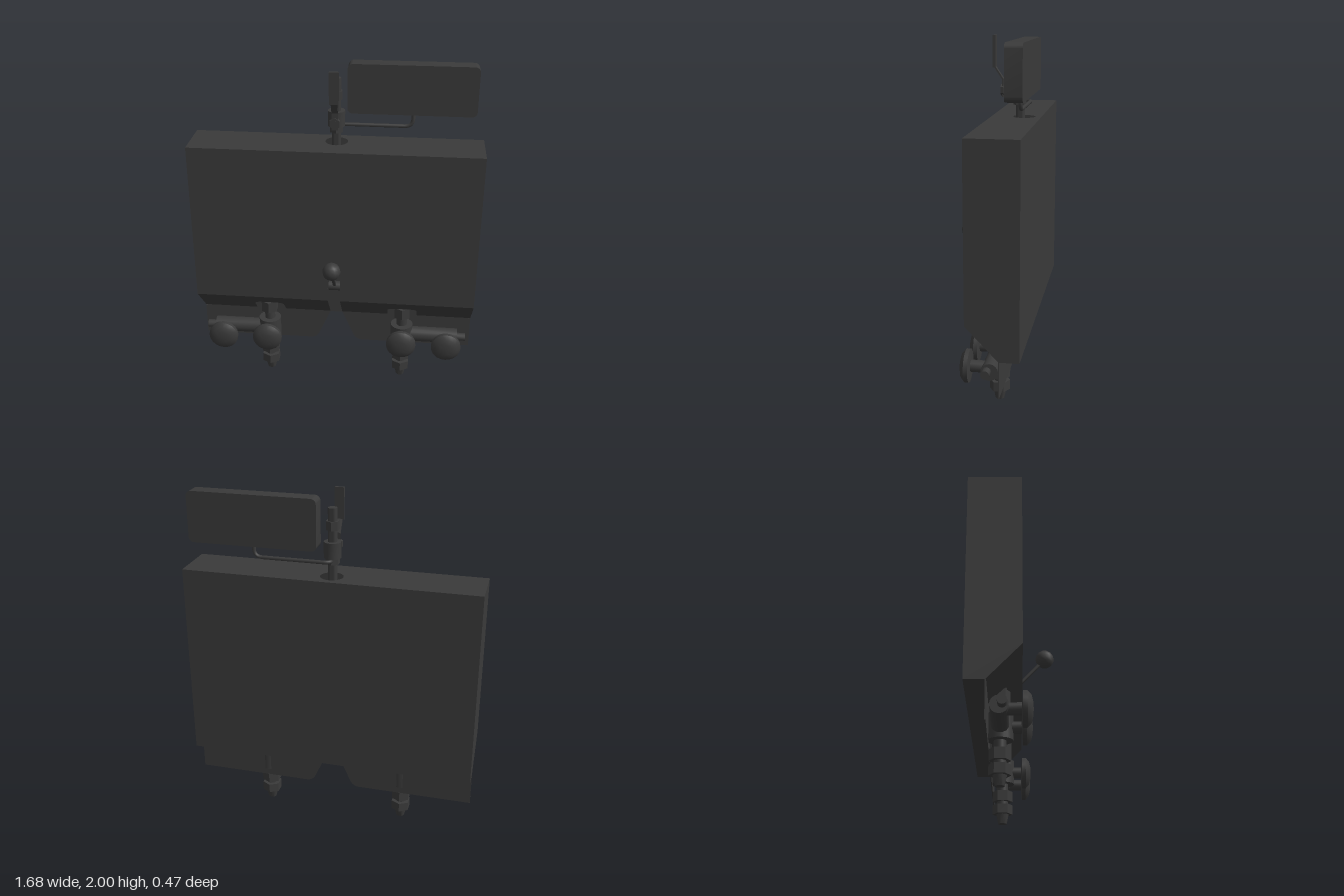
import * as THREE from 'three';
import { toCreasedNormals } from 'three/addons/utils/BufferGeometryUtils.js';

const V = (x, y, z) => new THREE.Vector3(x, y, z);
const dark = new THREE.MeshStandardMaterial({ color: 0x3a3a3a, side: THREE.DoubleSide });

function add(parent, name, geometry, x = 0, y = 0, z = 0) {
  const mesh = new THREE.Mesh(geometry, dark);
  mesh.name = name;
  mesh.position.set(x, y, z);
  parent.add(mesh);
  return mesh;
}

// Cylinder between two points, r0 at the start and r1 at the end
function rod(parent, name, a, b, r0, r1 = r0, sides = 16) {
  const mesh = add(parent, name, toCreasedNormals(new THREE.CylinderGeometry(r1, r0, a.distanceTo(b), sides), 0.9));
  mesh.position.copy(a).add(b).multiplyScalar(0.5);
  mesh.quaternion.setFromUnitVectors(V(0, 1, 0), b.clone().sub(a).normalize());
  return mesh;
}

const polygon = pts => new THREE.Shape(pts.map(p => new THREE.Vector2(...p)));

function group(parent, name) {
  const g = new THREE.Group();
  g.name = name;
  parent.add(g);
  return g;
}

const W = 0.84, TOP = 1.545, BOTTOM = 0.4, BEND = 0.585;
const FRONT = 0.05, BACK = -0.235, PLATE = -0.127, SLOT = 0.037;
const COLUMN = -0.115;

// One half of the slotted front, notched slope and mounting plate
function addHalf(parent, name, side) {
  const half = group(parent, name);
  half.scale.x = side;

  const front = polygon([[SLOT, BEND], [W, BEND], [W, TOP], [0, TOP], [0, 0.78]]);
  front.quadraticCurveTo(SLOT, 0.78, SLOT, 0.73);
  add(half, 'frontPanel', new THREE.ShapeGeometry(front), 0, 0, FRONT);

  const length = Math.hypot(BEND - BOTTOM, FRONT - PLATE);
  const slope = new THREE.Shape();
  slope.moveTo(SLOT, 0);
  slope.lineTo(0.323, 0);
  slope.lineTo(0.323, 0.09);
  slope.quadraticCurveTo(0.323, 0.14, 0.373, 0.14);
  slope.lineTo(0.455, 0.14);
  slope.quadraticCurveTo(0.505, 0.14, 0.505, 0.09);
  slope.lineTo(0.505, 0);
  slope.lineTo(W, 0);
  slope.lineTo(W, length);
  slope.lineTo(SLOT, length);
  add(half, 'slopedPanel', new THREE.ShapeGeometry(slope), 0, BOTTOM, PLATE)
    .rotation.x = Math.atan2(FRONT - PLATE, BEND - BOTTOM);

  const plate = new THREE.Shape();
  plate.moveTo(0, 0.56);
  plate.lineTo(0, 0.4);
  plate.lineTo(0.037, 0.4);
  plate.lineTo(0.108, 0.24);
  plate.quadraticCurveTo(0.127, 0.198, 0.165, 0.198);
  plate.lineTo(W, 0.198);
  plate.lineTo(W, BOTTOM);
  plate.lineTo(W - 0.01, BOTTOM);
  plate.lineTo(W - 0.01, 0.56);
  // above the slope the plate stays inside the cabinet
  add(half, 'mountingPlate', new THREE.ExtrudeGeometry(plate, { depth: 0.006, bevelEnabled: false }), 0, 0, PLATE - 0.003);

  const profile = polygon([[-BACK, BOTTOM], [-BACK, TOP], [-FRONT, TOP], [-FRONT, BEND], [-PLATE, BOTTOM]]);
  add(half, 'sidePanel', new THREE.ShapeGeometry(profile), W).rotation.y = Math.PI / 2;
}

// Pair of valves with round knobs on a common pipe
function addValves(parent, name, side) {
  const valves = group(parent, name);
  valves.scale.x = side;
  const z = -0.065, y = 0.305, inner = 0.415, outer = 0.69;
  const knob = [[0, 0.045], [0.035, 0.045], [0.09, 0.05], [0.09, 0.072], [0.068, 0.092], [0.035, 0.1], [0, 0.102]]
    .map(p => new THREE.Vector2(...p));
  for (const x of [inner, outer]) {
    rod(valves, 'valveStem', V(x, y, z), V(x, y, 0.055), 0.032);
    const k = add(valves, 'knob', toCreasedNormals(new THREE.LatheGeometry(knob, 20), 0.7), x, y, 0);
    k.rotation.x = Math.PI / 2;
  }
  rod(valves, 'crossPipe', V(inner, y, z), V(outer + 0.07, y, z), 0.047);
  rod(valves, 'endStub', V(outer, y + 0.005, -0.05), V(0.81, y + 0.005, -0.05), 0.024, 0.024, 12);
  const stack = [
    ['upperNut', 0.43, 0.5, 0.053, 0.053, 6],
    ['pipe', 0.05, 0.44, 0.032, 0.032, 16],
    ['valveBody', 0.235, 0.375, 0.068, 0.068, 20],
    ['middleNut', 0.13, 0.19, 0.058, 0.058, 6],
    ['lowerNut', 0.055, 0.11, 0.058, 0.058, 6],
    ['nozzle', 0, 0.055, 0.025, 0.036, 16],
  ];
  for (const [part, y0, y1, r0, r1, sides] of stack)
    rod(valves, part, V(inner, y0, z), V(inner, y1, z), r0, r1, sides);
}

export function createModel() {
  const model = new THREE.Group();
  model.name = 'wallCabinetWithValves';

  // Cabinet shell
  const cabinet = group(model, 'cabinet');
  addHalf(cabinet, 'leftHalf', 1);
  addHalf(cabinet, 'rightHalf', -1);
  add(cabinet, 'backPanel', new THREE.PlaneGeometry(2 * W, TOP - BOTTOM), 0, (TOP + BOTTOM) / 2, BACK).rotation.y = Math.PI;
  add(cabinet, 'bottomPanel', new THREE.PlaneGeometry(2 * W, PLATE - BACK), 0, BOTTOM, (PLATE + BACK) / 2).rotation.x = Math.PI / 2;
  const lid = polygon([[-W, -FRONT], [W, -FRONT], [W, -BACK], [-W, -BACK]]);
  lid.holes.push(new THREE.Path().absarc(0, 0.135, 0.065, 0, Math.PI * 2, true));
  add(cabinet, 'topPanel', new THREE.ShapeGeometry(lid, 12), 0, TOP, 0).rotation.x = -Math.PI / 2;

  addValves(model, 'leftValves', 1);
  addValves(model, 'rightValves', -1);

  // Ball lever in the front slot
  const lever = group(model, 'ballLever');
  add(lever, 'ball', new THREE.SphereGeometry(0.053, 12, 8), 0, 0.864, 0.182);
  rod(lever, 'leverRod', V(0, 0.66, -0.01), V(0, 0.86, 0.18), 0.011, 0.011, 10);
  rod(lever, 'leverPivot', V(-0.036, 0.655, -0.015), V(0.036, 0.655, -0.015), 0.028);

  // Column and valve on top
  const column = group(model, 'column');
  const parts = [
    ['shaft', 1.1, 1.925, 0.026, 16], ['upperCollar', 1.803, 1.853, 0.037, 6],
    ['valveBody', 1.648, 1.738, 0.049, 16], ['lowerCollar', 1.613, 1.65, 0.041, 6],
  ];
  for (const [name, y0, y1, r, sides] of parts) rod(column, name, V(0, y0, COLUMN), V(0, y1, COLUMN), r, r, sides);
  rod(column, 'handleStem', V(0, 1.695, COLUMN), V(0, 1.695, 0), 0.017, 0.017, 12);
  rod(column, 'stemFlange', V(0, 1.695, -0.04), V(0, 1.695, -0.028), 0.025);
  rod(column, 'stemNut', V(0, 1.695, -0.02), V(0, 1.695, -0.002), 0.033, 0.033, 6);

  // Bent flat handle
  const bend = polygon([[-0.018, 1.655], [-0.01, 1.655], [-0.01, 1.755], [0.037, 1.825], [0.037, 1.85],
    [0.029, 1.85], [0.029, 1.828], [-0.018, 1.758]]);
  add(column, 'handleArm', new THREE.ExtrudeGeometry(bend, { depth: 0.036, bevelEnabled: false }), 0.018)
    .rotation.y = -Math.PI / 2;
  const arm = column.children[column.children.length - 1];
  arm.scale.z = 1;
  arm.matrixAutoUpdate = true;
  add(column, 'handleGrip', new THREE.BoxGeometry(0.054, 0.18, 0.015), 0, 1.91, 0.034);

  // Rounded panel on a bent tube
  const x0 = 0.058, x1 = 0.785, y0 = 1.71, y1 = 1.995, r = 0.03;
  const sign = new THREE.Shape();
  sign.absarc(x1 - r, y0 + r, r, -Math.PI / 2, 0);
  sign.absarc(x1 - r, y1 - r, r, 0, Math.PI / 2);
  sign.absarc(x0 + r, y1 - r, r, Math.PI / 2, Math.PI);
  sign.absarc(x0 + r, y0 + r, r, Math.PI, Math.PI * 1.5);
  const panel = new THREE.ExtrudeGeometry(sign, { depth: 0.09, bevelEnabled: false, curveSegments: 5 });
  add(model, 'sidePanelBoard', toCreasedNormals(panel, 0.6), 0, 0, BACK);
  const path = new THREE.CurvePath();
  path.add(new THREE.LineCurve3(V(0, 1.635, COLUMN), V(0, 1.635, -0.145)));
  path.add(new THREE.QuadraticBezierCurve3(V(0, 1.635, -0.145), V(0, 1.635, -0.175), V(0.04, 1.635, -0.175)));
  path.add(new THREE.LineCurve3(V(0.04, 1.635, -0.175), V(0.38, 1.635, -0.175)));
  path.add(new THREE.QuadraticBezierCurve3(V(0.38, 1.635, -0.175), V(0.43, 1.635, -0.175), V(0.43, 1.68, -0.175)));
  path.add(new THREE.LineCurve3(V(0.43, 1.68, -0.175), V(0.43, 1.72, -0.175)));
  add(model, 'boardTube', new THREE.TubeGeometry(path, 60, 0.011, 8));

  return model;
}
